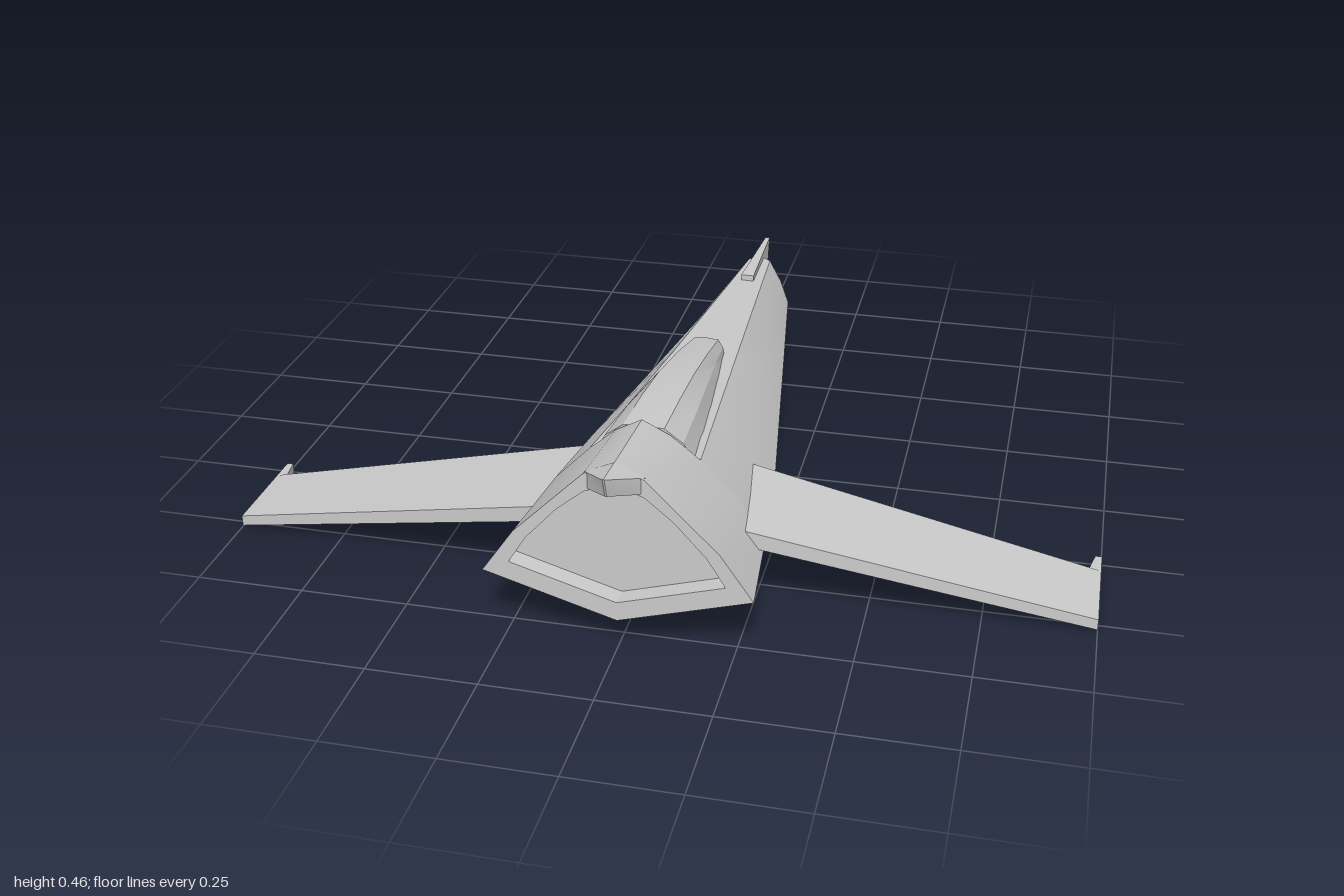
import * as THREE from 'three';
import { toCreasedNormals } from 'three/addons/utils/BufferGeometryUtils.js';

const material = new THREE.MeshStandardMaterial({ color: 0xcccccc });

// Skin between matching rings of [x, y, z] points, closed at both ends.
function loft(name, rings, crease = 0.5) {
  const pos = [];
  const tri = (a, b, c) => pos.push(...a, ...b, ...c);
  const n = rings[0].length;
  for (let k = 0; k + 1 < rings.length; k++) {
    const a = rings[k], b = rings[k + 1];
    for (let i = 0; i < n; i++) {
      const j = (i + 1) % n;
      tri(a[i], a[j], b[j]);
      tri(a[i], b[j], b[i]);
    }
  }
  const cap = (ring, flip) => {
    const c = [0, 1, 2].map(d => ring.reduce((s, p) => s + p[d], 0) / n);
    for (let i = 0; i < n; i++) {
      const p = ring[i], q = ring[(i + 1) % n];
      flip ? tri(c, q, p) : tri(c, p, q);
    }
  };
  cap(rings[0], true);
  cap(rings[rings.length - 1], false);
  const geo = new THREE.BufferGeometry();
  geo.setAttribute('position', new THREE.Float32BufferAttribute(pos, 3));
  const mesh = new THREE.Mesh(toCreasedNormals(geo, crease), material);
  mesh.name = name;
  return mesh;
}

// Half outline from bottom centre to top centre, mirrored to a full ring.
function mirrorRing(half, z) {
  const pts = half.map(p => [p[0], p[1], p[2] ?? z]);
  return [...pts, ...pts.slice(1, -1).reverse().map(([x, y, pz]) => [-x, y, pz])];
}

// Slightly bulged flank: keel, chine, mid point, deck edge.
function flank(keelY, w, chineY, d, deckY) {
  return [[0, keelY], [w, chineY],
    [(w + d) / 2 + 0.02 * w, (chineY + deckY) / 2 + 0.035 * w], [d, deckY]];
}

function createFuselage() {
  const group = new THREE.Group();
  group.name = 'fuselage';
  // Long tapered hull with a flat deck: z, keel y, half width, chine y, deck half width, deck y
  const stations = [
    [-0.40, 0.086, 0.14, 0.146, 0.055, 0.271],
    [-0.07, 0.081, 0.189, 0.15, 0.078, 0.29],
    [0.34, 0.076, 0.25, 0.153, 0.108, 0.318],
    [0.555, 0.072, 0.271, 0.155, 0.125, 0.335],
  ];
  const nose = mirrorRing([[0, 0.092, -0.77], [0.09, 0.142, -0.733], [0.065, 0.198, -0.748],
    [0.03, 0.25, -0.765], [0, 0.25, -0.79]]);
  group.add(loft('hull', [nose, ...stations.map(([z, ...s]) =>
    mirrorRing([...flank(...s), [0, s[4]]], z))]));

  // Raised hood section ending in a rim and a recessed panel
  const hoodFront = [...flank(0.072, 0.271, 0.155, 0.125, 0.335).map(p => [...p, 0.553]),
    [0.06, 0.395, 0.565], [0, 0.43, 0.572]];
  const hoodBack = [...flank(0.07, 0.295, 0.157, 0.14, 0.345), [0.065, 0.42], [0, 0.449]];
  const inset = [[0, 0.115], [0.235, 0.185], [0.195, 0.25], [0.125, 0.328], [0.065, 0.378], [0, 0.402]];
  group.add(loft('hood', [mirrorRing(hoodFront), mirrorRing(hoodBack, 0.81),
    mirrorRing(inset, 0.81), mirrorRing(inset, 0.765)]));

  // Pointed beak overhanging the recessed panel
  group.add(loft('beak', [
    mirrorRing([[0, 0.405], [0.065, 0.382], [0.065, 0.42], [0, 0.449]], 0.80),
    mirrorRing([[0, 0.408, 0.87], [0.002, 0.408, 0.87], [0.002, 0.455, 0.885], [0, 0.456, 0.885]]),
  ], 0.3));
  return group;
}

function createCanopy() {
  // z, base half width, base y, shoulder half width, shoulder y, top half width, top y
  const stations = [
    [-0.09, 0.04, 0.28, 0.039, 0.286, 0.036, 0.292],
    [-0.07, 0.046, 0.28, 0.042, 0.305, 0.03, 0.325],
    [0.08, 0.066, 0.29, 0.054, 0.33, 0.036, 0.358],
    [0.25, 0.086, 0.30, 0.069, 0.352, 0.041, 0.386],
    [0.40, 0.102, 0.31, 0.08, 0.366, 0.044, 0.399],
    [0.56, 0.117, 0.325, 0.088, 0.375, 0.046, 0.406],
  ];
  return loft('canopy', stations.map(([z, bw, by, sw, sy, tw, ty]) =>
    mirrorRing([[0, by - 0.02], [bw, by], [sw, sy], [tw, ty], [0, ty + 0.003]], z)), 0.3);
}

// Upright blade wrapping the narrow end above and below, thinning toward its edge
function createNoseFin() {
  const outline = [[-0.40, 0.11], [-0.40, 0.077], [-0.815, 0.08], [-0.885, 0.27], [-0.59, 0.276], [-0.59, 0.24]];
  // Corner order runs clockwise from the +x side, so reverse it
  const side = s => outline.map(([z, y]) => {
    const t = THREE.MathUtils.clamp((z + 0.885) / 0.295, 0, 1);
    return [s * (0.006 + 0.011 * t), y, z];
  });
  const clockwise = THREE.ShapeUtils.area(outline.map(([z, y]) => ({ x: -z, y }))) < 0;
  const rings = [side(-1), side(1)];
  return loft('noseFin', clockwise ? rings.map(r => r.reverse()) : rings, 0.3);
}

function createWing(name, mirror) {
  const wing = new THREE.Group();
  wing.name = name;
  const ring = (x, y0, y1, z0, z1) => [[x, y0, z1], [x, y0, z0], [x, y1, z0], [x, y1, z1]];
  wing.add(loft('wingPanel', [
    ring(0.17, 0.19, 0.229, 0.347, 0.634),
    ring(1, 0.002, 0.028, 0.32, 0.52),
  ], 0.3));
  // Short prong at the wing tip
  wing.add(loft('wingTip', [
    [[0.97, 0.008, 0.335], [0.985, 0.003, 0.258], [0.985, 0.028, 0.258], [0.97, 0.034, 0.335]],
    ring(1, 0, 0.028, 0.258, 0.52),
  ], 0.3));
  if (mirror) wing.scale.x = -1;
  return wing;
}

export function createModel() {
  const model = new THREE.Group();
  model.name = 'glider';
  model.add(createFuselage(), createCanopy(), createNoseFin(),
    createWing('leftWing', false), createWing('rightWing', true));
  return model;
}
